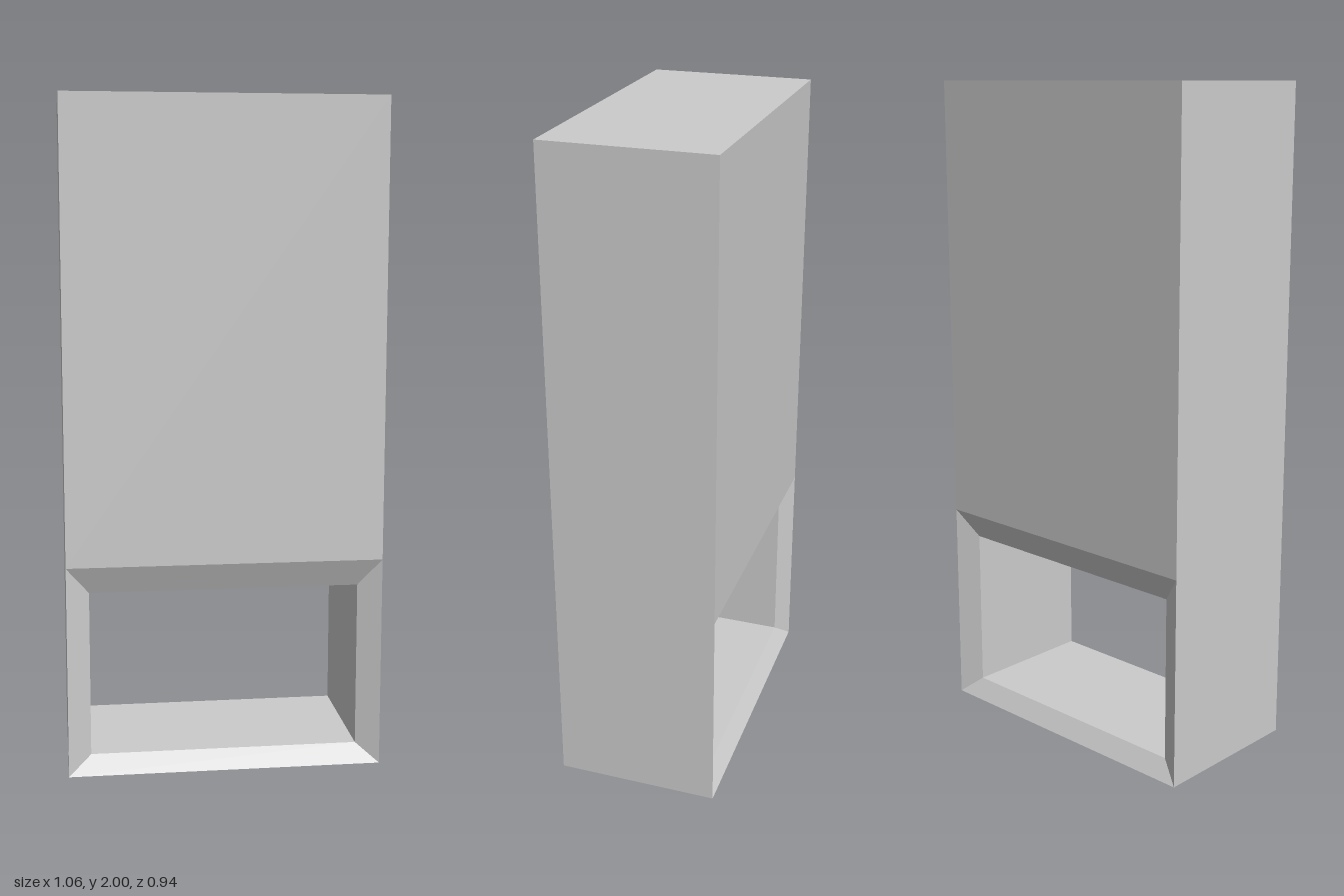
import * as THREE from 'three';

const W = 0.473, D = 0.247, H = 2;        // half width, half depth, height
const LINTEL = 0.64;                      // where the upper panels end

// Rectangular cross-section, counter-clockwise seen from the front
const rect = (w, y0, y1, z) => [[-w, y0, z], [w, y0, z], [w, y1, z], [-w, y1, z]];

// Joins successive rectangles with flat quads, on the chosen sides
// (0 bottom, 1 right, 2 top, 3 left)
function loft(name, loops, sides = [0, 1, 2, 3]) {
  const pos = [];
  for (let i = 0; i + 1 < loops.length; i++) {
    const a = loops[i], b = loops[i + 1];
    for (const j of sides) {
      const k = (j + 1) % 4;
      for (const p of [a[j], a[k], b[k], a[j], b[k], b[j]]) pos.push(...p);
    }
  }
  const geo = new THREE.BufferGeometry();
  geo.setAttribute('position', new THREE.Float32BufferAttribute(pos, 3));
  geo.computeVertexNormals();
  const mesh = new THREE.Mesh(geo, new THREE.MeshStandardMaterial({ color: 0xcccccc, flatShading: true }));
  mesh.name = name;
  return mesh;
}

export function createModel() {
  const group = new THREE.Group();
  group.name = 'tower';

  const full = z => rect(W, 0, H, z);
  const outer = z => rect(W, 0, LINTEL, z);
  const inner = z => rect(0.405, 0.055, 0.555, z);
  const recess = 0.21;                    // depth at which the bevels end

  const body = new THREE.Group();
  body.name = 'body';
  body.add(
    // Ends, roof and underside
    loft('outerWalls', [full(-D), full(D)]),
    // Plain faces above the opening
    loft('frontPanel', [full(D), outer(D)], [2]),
    loft('backPanel', [outer(-D), full(-D)], [2]),
    // Bevelled surrounds leading into the straight passage
    loft('frontBevel', [outer(D), inner(recess)]),
    loft('passage', [inner(recess), inner(-recess)]),
    loft('backBevel', [inner(-recess), outer(-D)])
  );
  body.rotation.y = -0.594;
  group.add(body);
  return group;
}
